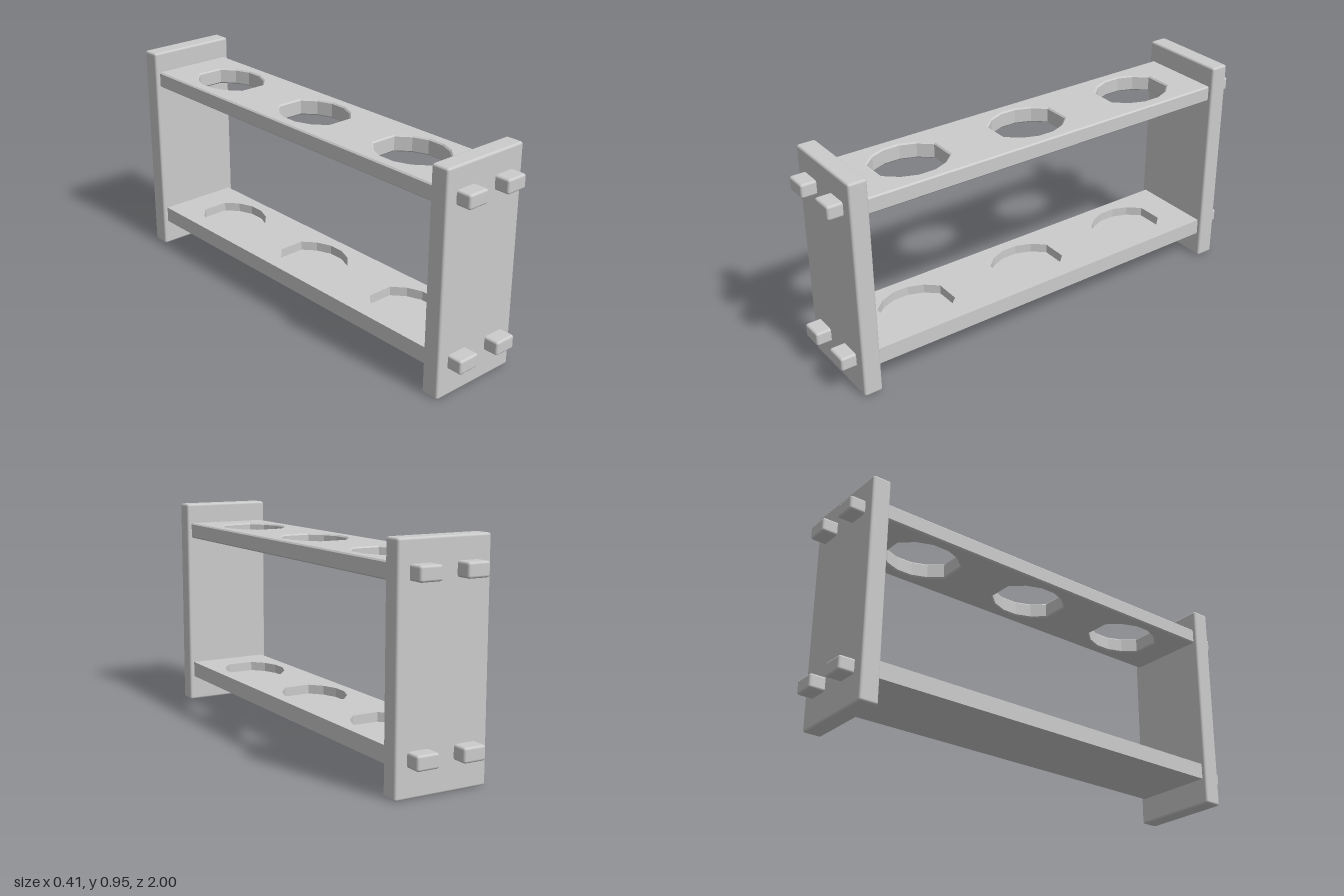
import * as THREE from 'three';
import { RoundedBoxGeometry } from 'three/addons/geometries/RoundedBoxGeometry.js';

const material = new THREE.MeshStandardMaterial({ color: 0xcccccc });
const SHELF_HALF_W = 0.183;
const SHELF_HALF_L = 0.86;
const HOLE_Z = [-0.565, 0, 0.565];

function addMesh(parent, name, geometry, x, y, z) {
  const mesh = new THREE.Mesh(geometry, material);
  mesh.name = name;
  mesh.position.set(x, y, z);
  parent.add(mesh);
}

// One faceted, slightly long hole, mirrored from a quarter outline
function holePath(centre) {
  const quarter = [[0.13, 0.035], [0.105, 0.1], [0.058, 0.153]];
  const back = [...quarter].reverse();
  const outline = [
    ...quarter,
    ...back.map(([x, y]) => [-x, y]),
    ...quarter.map(([x, y]) => [-x, -y]),
    ...back.map(([x, y]) => [x, -y]),
  ];
  return new THREE.Path(outline.map(([x, y]) => new THREE.Vector2(x, y + centre)));
}

// Plank with three holes, lying flat with its underside at y = 0
function holedPlank(thickness, bevel) {
  const w = SHELF_HALF_W, l = SHELF_HALF_L;
  const shape = new THREE.Shape([[-w, -l], [w, -l], [w, l], [-w, l]].map(p => new THREE.Vector2(...p)));
  shape.holes = HOLE_Z.map(holePath);
  const geometry = new THREE.ExtrudeGeometry(shape, {
    depth: thickness - 2 * bevel,
    bevelEnabled: bevel > 0,
    bevelThickness: bevel,
    bevelSize: bevel,
    bevelOffset: -bevel,
    bevelSegments: 1,
  });
  geometry.translate(0, 0, bevel);
  return geometry.rotateX(-Math.PI / 2);
}

export function createModel() {
  const rack = new THREE.Group();
  rack.name = 'rack';

  // Upper shelf: holes right through
  addMesh(rack, 'upperShelf', holedPlank(0.07, 0.006), 0, 0.79, 0);

  // Lower shelf: solid base under a holed layer, giving blind recesses
  const lowerShelf = new THREE.Group();
  lowerShelf.name = 'lowerShelf';
  rack.add(lowerShelf);
  addMesh(lowerShelf, 'recessedLayer', holedPlank(0.04, 0), 0, 0.145, 0);
  addMesh(lowerShelf, 'shelfBase', new THREE.BoxGeometry(2 * SHELF_HALF_W, 0.03, 2 * SHELF_HALF_L), 0, 0.13, 0);

  // End boards, each pierced by four tenons
  const boardGeometry = new RoundedBoxGeometry(0.406, 0.95, 0.08, 2, 0.01);
  const tenonGeometry = new RoundedBoxGeometry(0.098, 0.06, 0.11, 2, 0.01);
  for (const side of [1, -1]) {
    const end = new THREE.Group();
    end.name = side > 0 ? 'frontEnd' : 'backEnd';
    rack.add(end);
    addMesh(end, 'endBoard', boardGeometry, 0, 0.475, side * 0.895);
    for (const y of [0.15, 0.827]) {
      for (const x of [-0.103, 0.103]) addMesh(end, 'tenon', tenonGeometry, x, y, side * 0.945);
    }
  }
  return rack;
}
